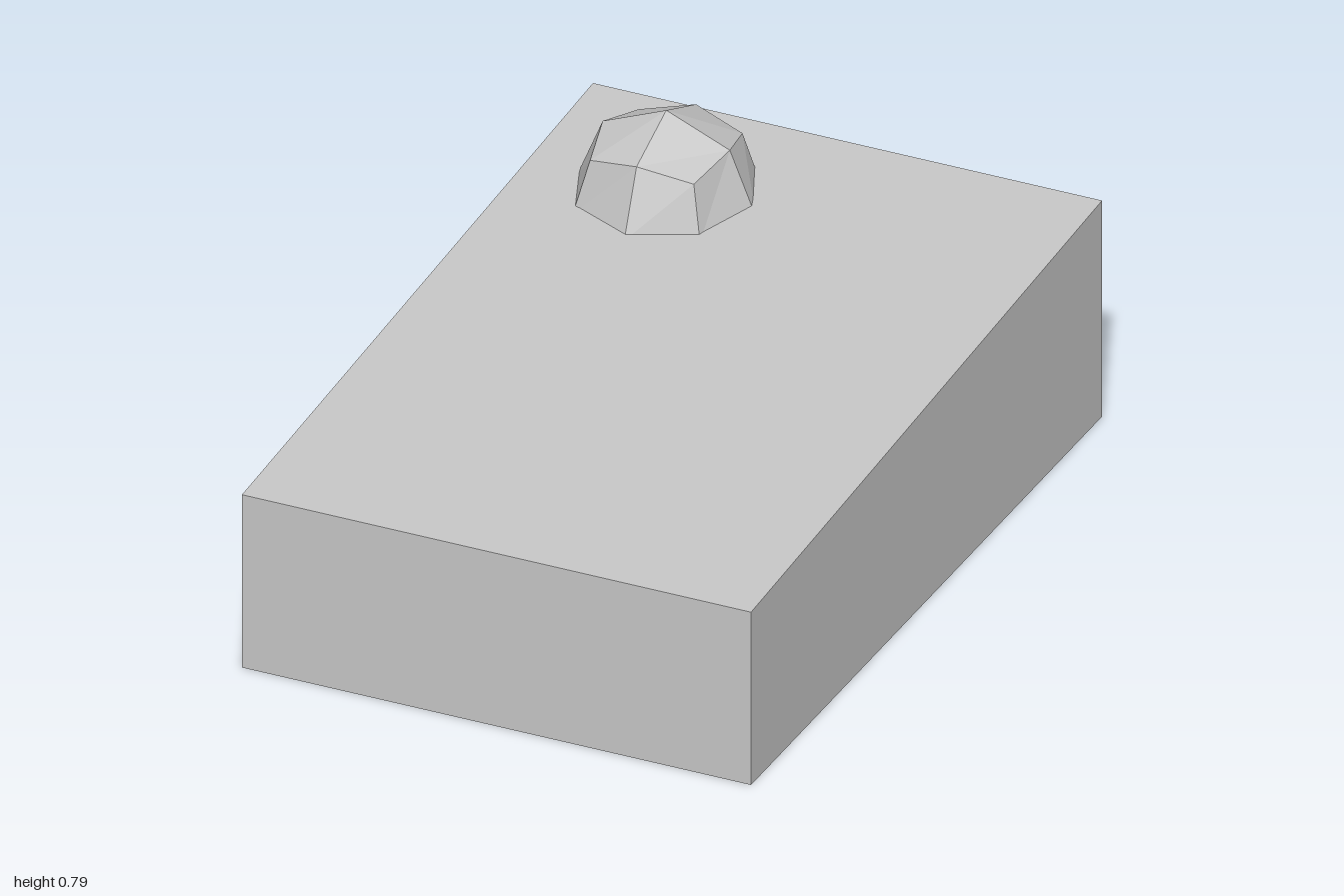
import * as THREE from 'three';

export function createModel() {
  const model = new THREE.Group();
  model.name = 'wedgeBlockWithKnob';
  const grey = new THREE.MeshStandardMaterial({ color: 0xc6c6c6, flatShading: true });
  grey.name = 'lightGrey';

  // Block whose top slopes down from back to front
  const blockGeometry = new THREE.BoxGeometry(1.36, 0.6, 2).translate(0, 0.3, 0);
  const corners = blockGeometry.attributes.position;
  for (let i = 0; i < corners.count; i++) {
    if (corners.getY(i) > 0.3 && corners.getZ(i) > 0) corners.setY(i, 0.48);
  }
  blockGeometry.computeVertexNormals();
  const block = new THREE.Mesh(blockGeometry, grey);
  block.name = 'slopedBlock';
  model.add(block);

  // Faceted knob: a subdivided cube pushed out to a sphere, half sunk in the block
  const knobGeometry = new THREE.BoxGeometry(2, 2, 2, 2, 2, 2);
  const points = knobGeometry.attributes.position;
  const p = new THREE.Vector3();
  for (let i = 0; i < points.count; i++) {
    p.fromBufferAttribute(points, i).setLength(0.24);
    points.setXYZ(i, p.x, p.y, p.z);
  }
  knobGeometry.computeVertexNormals();
  const knob = new THREE.Mesh(knobGeometry, grey);
  knob.name = 'knob';
  knob.position.set(-0.32, 0.55, -0.65);
  model.add(knob);

  return model;
}
